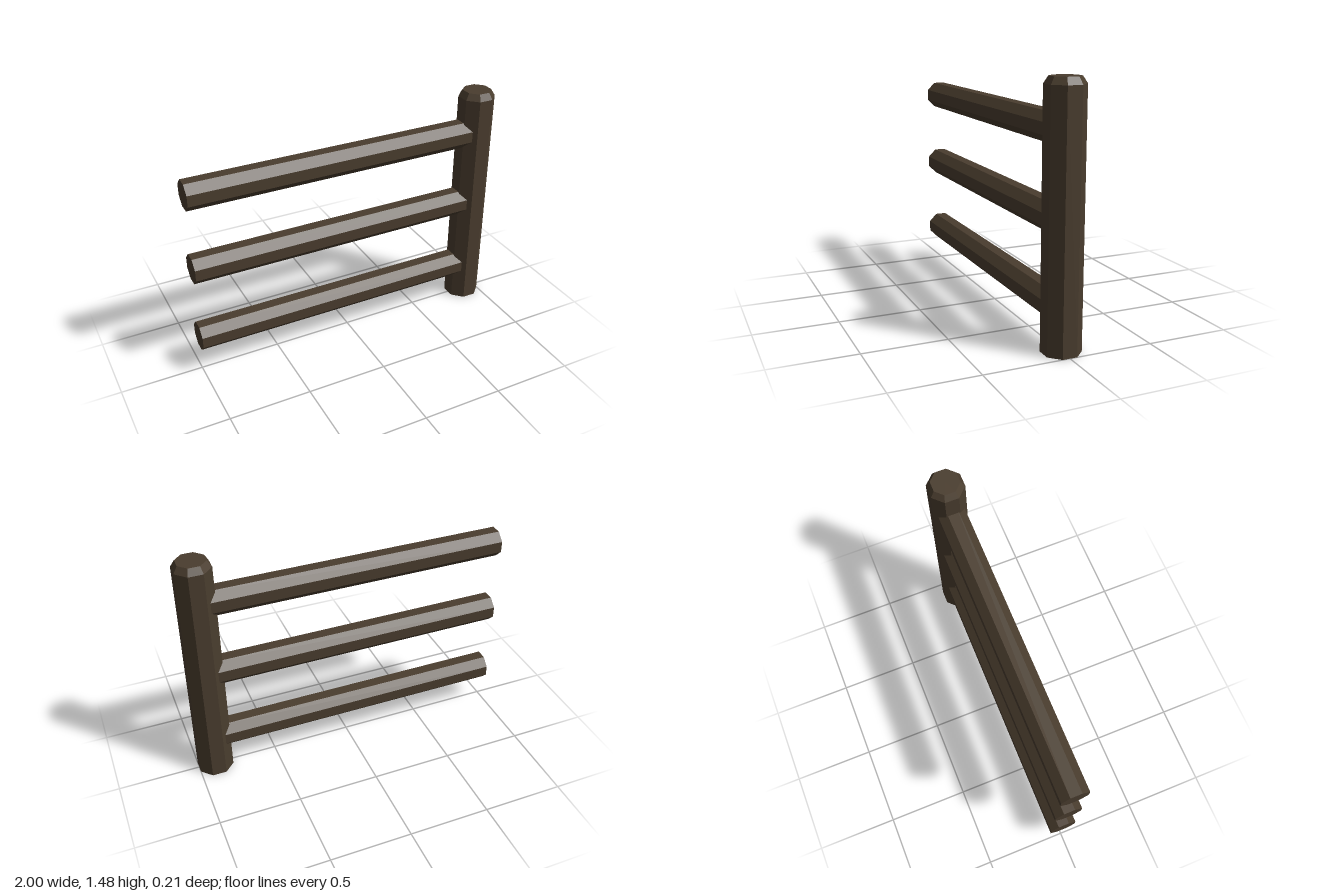
import * as THREE from 'three';

const SIDES = 8;
const TURN = Math.PI / SIDES; // puts flat sides on the axes
const radius = (halfWidth) => halfWidth / Math.cos(TURN);

export function createModel() {
  const model = new THREE.Group();
  model.name = 'fenceSection';

  const wood = new THREE.MeshStandardMaterial({ color: 0x4a3d2e, flatShading: true });
  wood.name = 'darkWood';

  // Octagonal post with a bevelled top
  const profile = [
    [0, 0], [radius(0.105), 0], [radius(0.105), 1.44], [radius(0.081), 1.48], [0, 1.48],
  ].map(([x, y]) => new THREE.Vector2(x, y));
  const post = new THREE.Mesh(new THREE.LatheGeometry(profile, SIDES, TURN), wood);
  post.name = 'post';
  post.position.x = 0.895;
  model.add(post);

  // Three octagonal rails running from the left edge into the post
  const start = -1, end = 0.895;
  const railGeometry = new THREE.CylinderGeometry(radius(0.083), radius(0.083), end - start, SIDES)
    .rotateY(TURN)
    .rotateZ(Math.PI / 2);
  ['lowerRail', 'middleRail', 'upperRail'].forEach((name, i) => {
    const rail = new THREE.Mesh(railGeometry, wood);
    rail.name = name;
    rail.position.set((start + end) / 2, 0.245 + i * 0.48, 0);
    model.add(rail);
  });

  return model;
}
